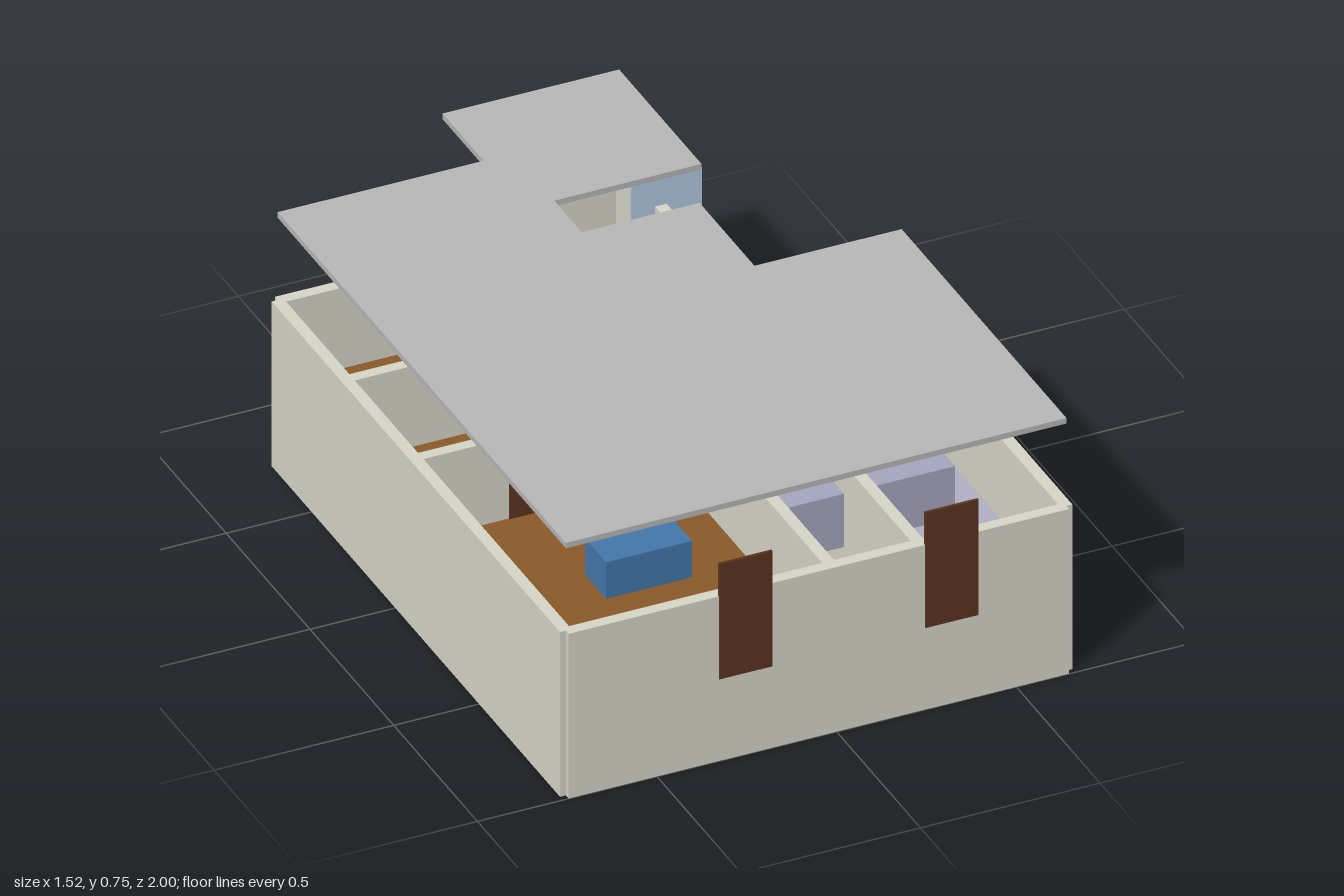
import * as THREE from 'three';

// Half-metre plan grid: i counts along x, k along z
const U = 2 / 24.4;
const X = (i) => -0.746 + i * U;
const Z = (k) => -0.984 + k * U;
const WALL_H = 6 * U, THICK = 0.4 * U, FLOOR_Y = 3 * U;

const mat = (color) => new THREE.MeshStandardMaterial({ color, flatShading: true });
const M = {
  wall: mat(0xd6d6c8), roof: mat(0xb8b8b8), wood: mat(0x8b5a2b), tile: mat(0xb0b0c4),
  door: mat(0x5c3420), glass: mat(0xb0c8e0), blue: mat(0x4477aa), red: mat(0xcc2a2e),
  tan: mat(0xb08060), lavender: mat(0xa8a6c0),
};

export function createModel() {
  const model = new THREE.Group();

  const box = (name, material, w, h, d, x, y, z) => {
    const mesh = new THREE.Mesh(new THREE.BoxGeometry(w, h, d), material);
    mesh.name = name;
    mesh.position.set(x, y, z);
    model.add(mesh);
  };

  // Outline of the building, in grid steps
  const outline = [
    [0, 3], [7, 3], [7, 0], [13, 0], [13, 6], [8, 6],
    [8, 8], [12, 8], [12, 12], [17, 12], [17, 24], [0, 24],
  ];

  // Walls centred on grid lines, leaving small notches at outer corners
  const wall = (name, [i0, k0], [i1, k1]) => {
    const w = Math.abs(i1 - i0) * U, d = Math.abs(k1 - k0) * U;
    box(name, M.wall, w || THICK, WALL_H, d || THICK,
      X((i0 + i1) / 2), WALL_H / 2, Z((k0 + k1) / 2));
  };
  outline.forEach((p, n) => wall('outerWall', p, outline[(n + 1) % outline.length]));
  [
    [[9, 13], [9, 24]], [[12, 12], [12, 24]], [[0, 13], [9, 13]], [[0, 8], [8, 8]],
    [[8, 8], [8, 13]], [[7, 3], [7, 6]], [[8, 3], [8, 6]], [[7, 3], [8, 3]], [[7, 6], [8, 6]],
  ].forEach(([a, b]) => wall('innerWall', a, b));

  // Floating flat roof
  const shape = new THREE.Shape(outline.map(([i, k]) => new THREE.Vector2(X(i), -Z(k))));
  const roofGeo = new THREE.ExtrudeGeometry(shape, { depth: 0.2 * U, bevelEnabled: false });
  roofGeo.rotateX(-Math.PI / 2);
  const roof = new THREE.Mesh(roofGeo, M.roof);
  roof.name = 'roof';
  roof.position.y = 9 * U;
  model.add(roof);

  // Room floors at half the wall height
  const floor = (material, i0, k0, i1, k1) =>
    box('floor', material, (i1 - i0) * U, 0.01, (k1 - k0) * U,
      X((i0 + i1) / 2), FLOOR_Y, Z((k0 + k1) / 2));
  floor(M.wood, 0, 13, 9, 24);
  floor(M.wood, 0, 8, 8, 13);
  floor(M.wood, 0, 3, 7, 8);
  floor(M.tile, 12, 12, 17, 24);
  floor(M.tile, 8, 0, 13, 6);

  // Doors on the front faces of the walls
  [[6, 24], [13, 24], [4, 13], [10, 6]].forEach(([i, k]) =>
    box('door', M.door, 1.8 * U, 4.2 * U, 0.1 * U, X(i), FLOOR_Y + 2.1 * U, Z(k) + THICK / 2));

  // Window panes standing across the side walls
  [[17, 18], [13, 3], [12, 16], [8, 8]].forEach(([i, k]) =>
    box('windowPane', M.glass, 2.4 * U, 2 * U, 0.06 * U, X(i) + THICK / 2, FLOOR_Y + 3 * U, Z(k)));

  // Furniture blocks, each standing on the floor: x and z ranges, top height
  const furniture = (name, material, x0, x1, z0, z1, top) =>
    box(name, material, x1 - x0, top - FLOOR_Y, z1 - z0,
      (x0 + x1) / 2, (top + FLOOR_Y) / 2, (z0 + z1) / 2);
  furniture('sofa', M.blue, -0.43, -0.19, 0.42, 0.545, 0.36);
  furniture('bed', M.red, -0.575, -0.245, -0.455, -0.37, 0.36);
  furniture('table', M.tan, -0.07, 0.13, -0.81, -0.67, 0.36);
  furniture('counter', M.lavender, 0.03, 0.53, 0.41, 0.57, 0.405);

  return model;
}
